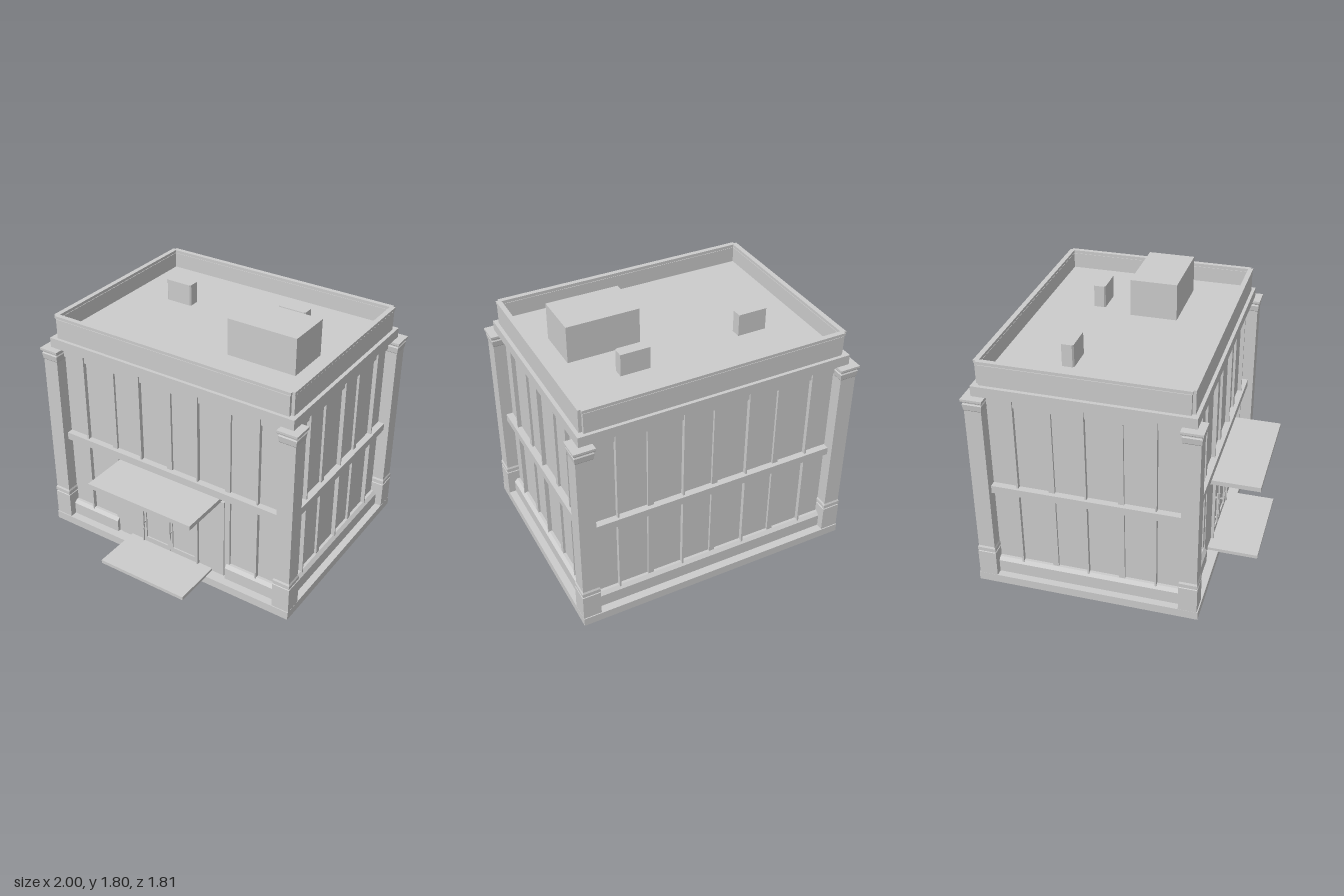
import * as THREE from 'three';

const mat = new THREE.MeshStandardMaterial({ color: 0xcccccc, flatShading: true });
const ZC = -0.138; // the building sits behind the entrance step and canopy

export function createModel() {
  const root = new THREE.Group();

  const add = (parent, name, geometry) => {
    const mesh = new THREE.Mesh(geometry, mat);
    mesh.name = name;
    parent.add(mesh);
    return mesh;
  };
  // box given by its limits on each axis
  const box = (parent, name, x0, x1, y0, y1, z0, z1) => {
    const mesh = add(parent, name, new THREE.BoxGeometry(x1 - x0, y1 - y0, z1 - z0));
    mesh.position.set((x0 + x1) / 2, (y0 + y1) / 2, (z0 + z1) / 2);
    return mesh;
  };

  const building = new THREE.Group();
  building.name = 'building';
  building.position.z = ZC;
  root.add(building);

  // plinth, recessed glazing core and entablature
  box(building, 'plinth', -0.992, 0.992, 0, 0.06, -0.765, 0.765);
  box(building, 'glazing', -0.9, 0.9, 0.06, 1.44, -0.666, 0.666);
  box(building, 'entablature', -0.946, 0.946, 1.44, 1.51, -0.717, 0.717);
  box(building, 'roofDeck', -0.892, 0.892, 1.51, 1.54, -0.665, 0.665);

  // sill with a sloped top, cross-section swept along x
  const sill = (parent, x0, x1, face) => {
    const s = new THREE.Shape([[0, 0.06], [0.025, 0.06], [0.025, 0.15], [0.003, 0.172], [0, 0.172]]
      .map(([z, y]) => new THREE.Vector2(-z, y)));
    const g = new THREE.ExtrudeGeometry(s, { depth: x1 - x0, bevelEnabled: false });
    g.rotateY(Math.PI / 2);
    g.translate(x0, 0, face);
    add(parent, 'sill', g);
  };

  // one facade facing local +z: header, piers, fins, floor band, sills
  const facade = (name, angle, face, half, bays, entrance) => {
    const f = new THREE.Group();
    f.name = name;
    f.rotation.y = angle;
    building.add(f);
    const pitch = 0.463, back = face - 0.04;
    box(f, 'header', -half, half, 1.375, 1.44, back, face);
    box(f, 'floorBand', -half, half, 0.72, 0.775, back, face + 0.03);
    for (let i = 0; i < bays; i++) {
      const x = (i - (bays - 1) / 2) * pitch;
      box(f, 'fin', x - 0.006, x + 0.006, 0.06, 1.44, back, face + 0.012);
      if (i < bays - 1) {
        const p = x + pitch / 2;
        const y0 = entrance && Math.abs(p) < 0.1 ? 0.56 : 0.06;
        box(f, 'pier', p - 0.02, p + 0.02, y0, 1.44, back, face);
      }
    }
    if (entrance) {
      sill(f, -half, -0.462, face);
      sill(f, 0.462, half, face);
    } else sill(f, -half, half, face);
    // solid backing behind the sills
    for (const s of entrance ? [-1, 1] : [0]) {
      const a = s ? Math.min(s * 0.462, s * half) : -half;
      const b = s ? Math.max(s * 0.462, s * half) : half;
      box(f, 'sillBacking', a, b, 0.06, 0.172, back, face);
    }
    return f;
  };
  const front = facade('frontFacade', 0, 0.683, 0.868, 4, true);
  facade('backFacade', Math.PI, 0.683, 0.868, 4, false);
  facade('leftFacade', Math.PI / 2, 0.917, 0.638, 3, false);
  facade('rightFacade', -Math.PI / 2, 0.917, 0.638, 3, false);

  // corner columns: square profile with pedestal and capital
  const profile = [
    [0, 0.06], [0.063, 0.06], [0.063, 0.245], [0.058, 0.248], [0.058, 0.254], [0.063, 0.257],
    [0.063, 0.28], [0.057, 0.293], [0.057, 1.355], [0.06, 1.36], [0.065, 1.4], [0.06, 1.408],
    [0.06, 1.413], [0.07, 1.42], [0.072, 1.425], [0.072, 1.44], [0, 1.44],
  ].map(([h, y]) => new THREE.Vector2(h * Math.SQRT2, y));
  for (const sx of [-1, 1]) for (const sz of [-1, 1]) {
    const column = add(building, 'cornerColumn', new THREE.LatheGeometry(profile, 4, Math.PI / 4));
    column.position.set(sx * 0.928, 0, sz * 0.695);
  }

  // parapet panels with coping, leaving narrow slits at the corners
  for (const s of [-1, 1]) {
    const span = (d, t) => (s > 0 ? [d - t, d] : [-d, t - d]);
    box(building, 'parapet', -0.898, 0.898, 1.51, 1.65, ...span(0.694, 0.03));
    box(building, 'coping', -0.905, 0.905, 1.655, 1.675, ...span(0.697, 0.035));
    box(building, 'copingBed', -0.898, 0.898, 1.65, 1.655, ...span(0.688, 0.02));
    box(building, 'sideParapet', ...span(0.92, 0.03), 1.51, 1.65, -0.672, 0.672);
    box(building, 'sideCoping', ...span(0.923, 0.035), 1.655, 1.675, -0.68, 0.68);
    box(building, 'sideCopingBed', ...span(0.914, 0.02), 1.65, 1.655, -0.672, 0.672);
  }

  // rooftop plant room and two small units with chamfered front corners
  box(root, 'plantRoom', 0.208, 0.713, 1.54, 1.8, -0.163, 0.163);
  for (const [x, z] of [[-0.503, -0.335], [0.377, -0.405]]) {
    const s = new THREE.Shape([[-0.102, 0.04], [-0.102, -0.03], [-0.092, -0.04],
      [0.092, -0.04], [0.102, -0.03], [0.102, 0.04]].map(p => new THREE.Vector2(...p)));
    const g = new THREE.ExtrudeGeometry(s, { depth: 0.155, bevelEnabled: false });
    g.rotateX(-Math.PI / 2);
    add(root, 'roofUnit', g).position.set(x, 1.54, z);
  }

  // entrance: side lights, door frame, two leaves with handles
  const entrance = new THREE.Group();
  entrance.name = 'entrance';
  root.add(entrance);
  const wall = 0.683 + ZC;
  box(entrance, 'sideLights', -0.44, 0.44, 0.06, 0.68, wall - 0.04, wall + 0.005);
  box(entrance, 'transom', -0.235, 0.235, 0.56, 0.575, wall, wall + 0.02);
  box(entrance, 'transomBar', -0.018, 0.018, 0.575, 0.68, wall, wall + 0.012);
  for (const s of [-1, 1]) {
    box(entrance, 'doorJamb', s * 0.232 - 0.006, s * 0.232 + 0.006, 0.06, 0.68, wall, wall + 0.025);
    // door leaf: frame with an opening
    const leaf = new THREE.Shape([[-0.112, 0.08], [0.112, 0.08], [0.112, 0.56], [-0.112, 0.56]]
      .map(p => new THREE.Vector2(...p)));
    leaf.holes.push(new THREE.Path([[-0.093, 0.12], [-0.093, 0.535], [0.093, 0.535], [0.093, 0.12]]
      .map(p => new THREE.Vector2(...p))));
    const g = new THREE.ExtrudeGeometry(leaf, { depth: 0.015, bevelEnabled: false });
    add(entrance, 'doorLeaf', g).position.set(s * 0.113, 0, wall);
    // handle bar on two stand-offs
    const hx = s < 0 ? -0.215 : 0.012;
    box(entrance, 'doorHandle', hx - 0.006, hx + 0.006, 0.215, 0.46, wall + 0.032, wall + 0.044);
    for (const y of [0.25, 0.42])
      box(entrance, 'handleMount', hx - 0.004, hx + 0.004, y, y + 0.01, wall + 0.01, wall + 0.034);
  }
  box(entrance, 'canopy', -0.413, 0.413, 0.675, 0.708, wall - 0.02, 0.905);
  box(entrance, 'entryStep', -0.345, 0.345, 0.055, 0.08, wall - 0.02, 0.905);

  return root;
}
